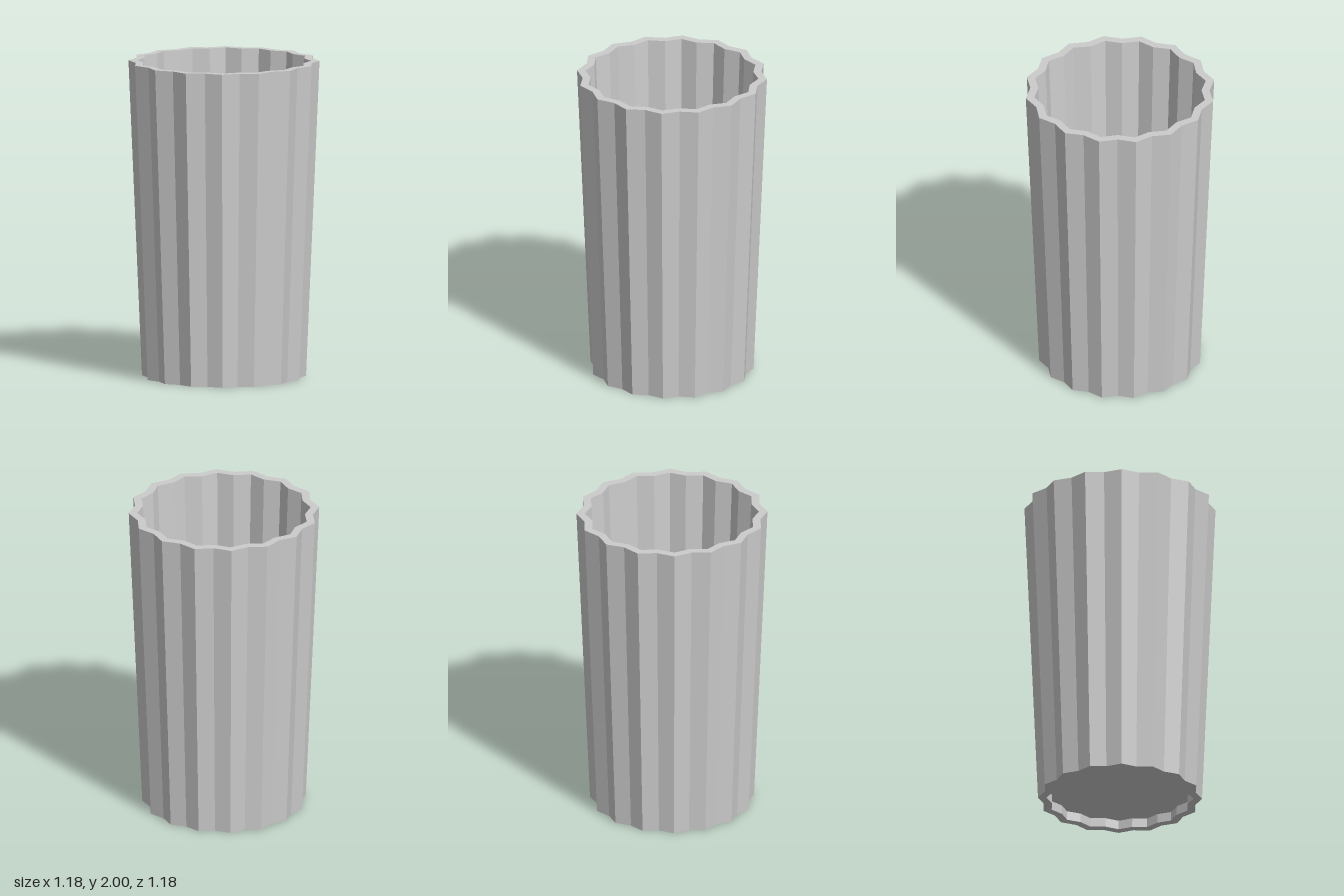
import * as THREE from 'three';

const FLUTES = 16;
const VALLEY = 0.9375; // valley radius relative to ridge radius

// Lathe a ridge profile, then pull every second column inward to form flutes
function flutedLathe(profile) {
  const points = profile.map(([r, y]) => new THREE.Vector2(r, y));
  const lathe = new THREE.LatheGeometry(points, FLUTES * 2);
  const pos = lathe.attributes.position;
  for (let i = 0; i < pos.count; i++) {
    const column = Math.floor(i / points.length);
    const k = column % 2 === 0 ? VALLEY : 1;
    pos.setX(i, pos.getX(i) * k);
    pos.setZ(i, pos.getZ(i) * k);
  }
  const geometry = lathe.toNonIndexed();
  geometry.computeVertexNormals();
  return geometry;
}

export function createModel() {
  const group = new THREE.Group();
  group.name = 'flutedCup';
  const material = new THREE.MeshStandardMaterial({ color: 0xcccccc, flatShading: true });

  // Closed section: recessed underside, foot, outer wall, rim, inner wall, floor
  const cup = new THREE.Mesh(flutedLathe([
    [0, 0.06],
    [0.463, 0.06],
    [0.461, 0],
    [0.515, 0],
    [0.6, 2],
    [0.546, 2],
    [0.466, 0.12],
    [0, 0.12],
  ]), material);
  cup.name = 'cupBody';
  group.add(cup);
  return group;
}
